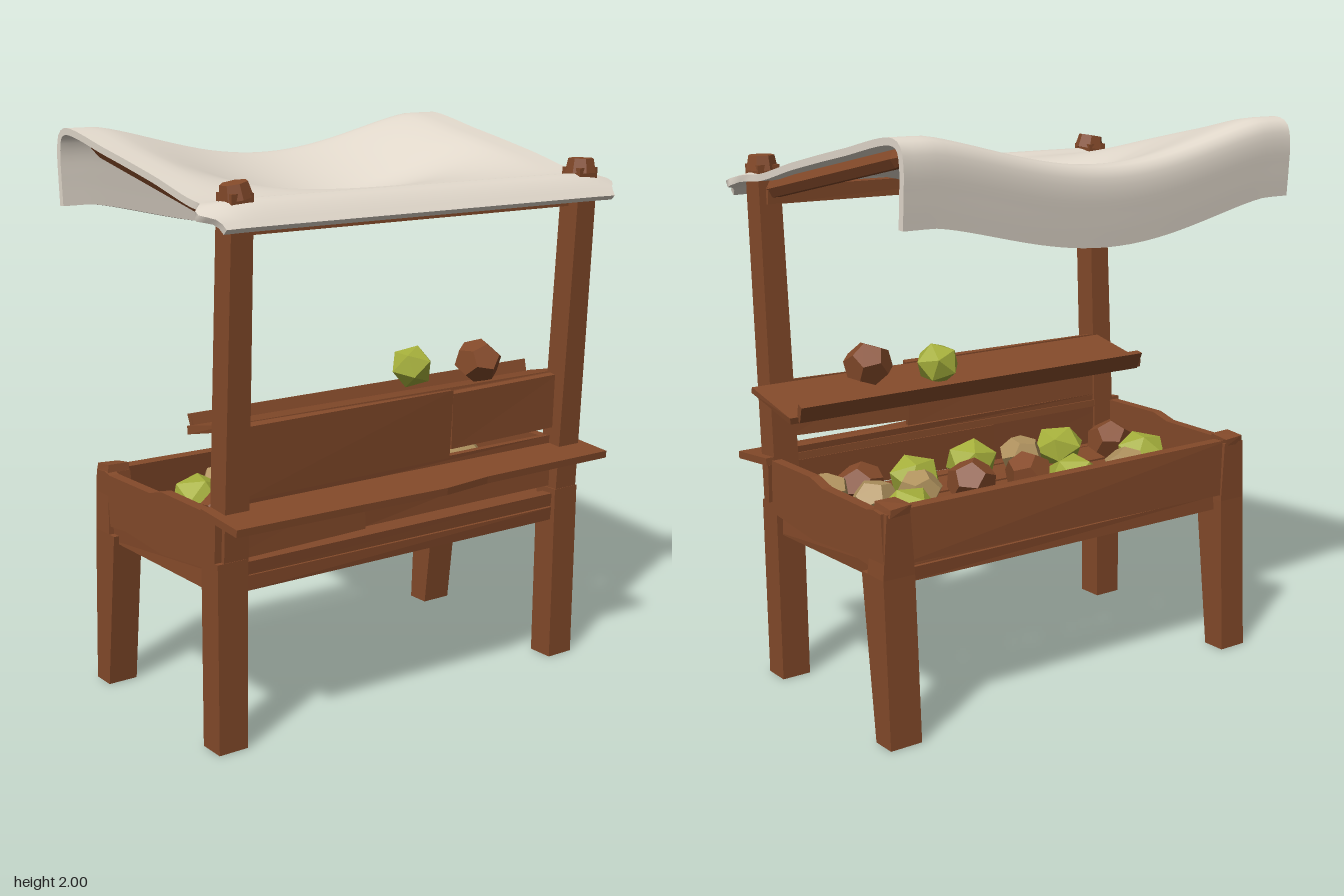
import * as THREE from 'three';

const mat = (name, color, extra = {}) => {
  const m = new THREE.MeshStandardMaterial({ color, ...extra });
  m.name = name;
  return m;
};

export function createModel() {
  const wood = mat('wood', 0x844a2a, { flatShading: true });
  const cloth = mat('cloth', 0xe2d9cc);
  const green = mat('green fruit', 0xa5af3b, { flatShading: true });
  const tan = mat('tan fruit', 0xb0925e, { flatShading: true });
  const model = new THREE.Group();

  let seed = 7;
  const rnd = () => (seed = (seed * 16807) % 2147483647) / 2147483647;

  const add = (name, geo, material, pos = [0, 0, 0], rot = [0, 0, 0]) => {
    const m = new THREE.Mesh(geo, material);
    m.name = name;
    m.position.set(...pos);
    m.rotation.set(...rot);
    model.add(m);
    return m;
  };

  const outline = pts => new THREE.Shape(pts.map(q => new THREE.Vector2(...q)));

  // Rough-hewn plank: a box with slightly uneven corners
  const plank = (name, size, pos, rot, wob = 0.008) => {
    const g = new THREE.BoxGeometry(...size);
    const p = g.attributes.position, shift = {};
    for (let i = 0; i < p.count; i++) {
      const c = [p.getX(i), p.getY(i), p.getZ(i)];
      const key = c.map(Math.sign).join();
      shift[key] ??= c.map(() => (rnd() - 0.5) * wob);
      p.setXYZ(i, ...c.map((v, k) => v + shift[key][k]));
    }
    g.computeVertexNormals();
    return add(name, g, wood, pos, rot);
  };

  // Tapered, leaning timber between two rectangles [x0, x1, z0, z1]
  const timber = (name, y0, lo, y1, hi) => {
    const g = new THREE.BoxGeometry(1, 1, 1);
    const p = g.attributes.position;
    for (let i = 0; i < p.count; i++) {
      const top = p.getY(i) > 0, r = top ? hi : lo;
      p.setXYZ(i, r[p.getX(i) > 0 ? 1 : 0], top ? y1 : y0, r[p.getZ(i) > 0 ? 3 : 2]);
    }
    g.computeVertexNormals();
    return add(name, g, wood);
  };

  // Legs and canopy posts
  timber('leg', 0, [0.31, 0.41, 0.675, 0.785], 0.66, [0.31, 0.41, 0.665, 0.78]);
  timber('leg', 0, [0.31, 0.41, -0.8, -0.69], 0.66, [0.31, 0.41, -0.805, -0.695]);
  timber('post', 0.6, [0.315, 0.405, 0.66, 0.755], 1.85, [0.382, 0.472, 0.665, 0.745]);
  timber('post', 0.6, [0.315, 0.405, -0.8, -0.7], 1.85, [0.382, 0.472, -0.795, -0.71]);
  for (const [z0, z1] of [[0.675, 0.787], [-0.812, -0.69]]) {
    const mid = (z0 + z1) / 2;
    timber('leg', 0, [-0.43, -0.34, z0, z1], 0.58, [-0.402, -0.27, z0, z1]);
    timber('legTop', 0.58, [-0.402, -0.305, z0, z1], 0.8, [-0.403, -0.322, mid - 0.045, mid + 0.045]);
    plank('legCap', [0.085, 0.026, 0.085], [-0.365, 0.808, mid], [0, 0.05, 0.06], 0.012);
  }

  // Post caps
  for (const z of [0.705, -0.755])
    add('postCap', new THREE.CylinderGeometry(0.046, 0.056, 0.05, 7), wood, [0.428, 1.856, z], [0.08, z * 2, 0.1]);

  // Tray end boards with worn edges
  const end = outline([
    [-0.4, 0.6], [-0.2, 0.618], [0.05, 0.6], [0.39, 0.635], [0.4, 0.82], [0.06, 0.822],
    [-0.02, 0.8], [-0.3, 0.797], [-0.34, 0.805], [-0.385, 0.8],
  ]);
  for (const z of [0.742, -0.808])
    add('trayEnd', new THREE.ExtrudeGeometry(end, { depth: 0.038, bevelEnabled: false }), wood, [0, 0, z]);

  // Tray long sides and frame rails
  plank('traySide', [0.04, 0.15, 0.6], [0.355, 0.73, 0.46], [0.015, 0, 0]);
  plank('traySide', [0.035, 0.135, 0.98], [0.35, 0.735, -0.33], [0.006, 0, 0]);
  plank('traySide', [0.035, 0.19, 1.5], [-0.372, 0.705, -0.01], [0, 0, -0.05], 0.02);
  for (const x of [0.36, -0.33]) {
    plank('longRail', [0.06, 0.05, 1.46], [x, 0.566, -0.01]);
    plank('longRail', [0.05, 0.045, 1.46], [x + 0.005, 0.617, -0.01]);
  }
  for (const z of [0.735, -0.75]) plank('endRail', [0.72, 0.065, 0.06], [0.01, 0.583, z]);

  // Counter ledge with an uneven outer edge
  const ledge = outline([
    [0.33, -0.83], [0.536, -0.83], [0.54, -0.25], [0.563, -0.05], [0.553, 0.3], [0.545, 0.79], [0.33, 0.79],
  ]);
  add('ledge', new THREE.ExtrudeGeometry(ledge, { depth: 0.026, bevelEnabled: false }).rotateX(Math.PI / 2),
    wood, [0, 0.86, 0], [0, 0, -0.085]);

  // Floor slats
  for (let i = 0; i < 4; i++)
    plank('floorSlat', [0.163, 0.025, 1.48], [-0.24 + i * 0.17, 0.622, -0.01], [0, 0, (rnd() - 0.5) * 0.1], 0.012);

  // Panel above the ledge
  plank('backPanel', [0.03, 0.245, 0.89], [0.362, 0.973, 0.225], [0.004, 0, -0.05]);
  plank('backPanel', [0.03, 0.205, 0.5], [0.365, 0.988, -0.47], [0.02, 0, -0.05]);
  plank('backPanel', [0.03, 0.04, 1.4], [0.35, 0.835, -0.02], [0.005, 0, 0]);

  // Tilted display shelf
  plank('shelf', [0.27, 0.028, 1.55], [0.205, 1.053, -0.095], [0, 0, 0.23]);
  plank('shelfLip', [0.022, 0.065, 1.5], [0.067, 1.045, -0.09], [0, 0, 0.3]);

  // Canopy frame
  plank('crossBeam', [0.055, 0.06, 1.5], [0.39, 1.745, -0.02]);
  for (const z of [0.7, -0.735]) {
    const a = new THREE.Vector3(0.42, 1.758, z), b = new THREE.Vector3(-0.525, 1.95, z);
    const dir = b.clone().sub(a), len = dir.length();
    const g = new THREE.LatheGeometry(
      [[0, 0], [0.034, 0], [0.033, len * 0.88], [0.012, len], [0, len]].map(q => new THREE.Vector2(...q)), 6);
    add('rafter', g, wood, a.toArray())
      .quaternion.setFromUnitVectors(new THREE.Vector3(0, 1, 0), dir.normalize());
  }

  // Sagging cloth canopy: a segmented slab bent along a section curve
  const section = new THREE.CatmullRomCurve3([
    [-0.552, 1.725], [-0.558, 1.82], [-0.56, 1.92], [-0.544, 1.975], [-0.5, 1.998], [-0.2, 1.945],
    [0.1, 1.883], [0.37, 1.822], [0.45, 1.832], [0.5, 1.8], [0.54, 1.755],
  ].map(([x, y]) => new THREE.Vector3(x, y, 0)));
  const canopy = new THREE.BoxGeometry(1, 1, 1, 56, 1, 40);
  const p = canopy.attributes.position;
  for (let i = 0; i < p.count; i++) {
    const t = p.getX(i) + 0.5, s = p.getZ(i) * 2;
    const c = section.getPointAt(t), along = section.getTangentAt(t);
    const inset = p.getY(i) < 0 ? 0.024 : 0;
    const flare = Math.exp(-(((c.x - 0.46) / 0.045) ** 2)) * Math.abs(s) ** 16;
    const z = -0.005 + s * (0.81 + 0.06 * flare);
    const amp = c.x < -0.1 ? 0.115 + 0.05 * (c.x + 0.55) / 0.45
      : 0.0825 * (1 + Math.cos(Math.PI * Math.min(1, (c.x + 0.1) / 0.5)));
    const sag = amp * Math.cos(Math.PI / 2 * Math.min(1, Math.abs(z) / 0.7)) ** 1.3;
    p.setXYZ(i, c.x + along.y * inset, c.y - along.x * inset - sag - 0.03 * flare, z);
  }
  canopy.computeVertexNormals();
  add('canopy', canopy, cloth);

  // Faceted fruit, each turned and flattened a little
  const fruit = (name, material, round, r, flat, list) => list.forEach(([x, y, z]) => {
    const g = round ? new THREE.DodecahedronGeometry(r) : new THREE.IcosahedronGeometry(r);
    g.rotateX(rnd() * 3).rotateZ(rnd() * 3).scale(1, flat, 1);
    add(name, g, material, [x, y, z], [0, rnd() * 3, 0]);
  });
  fruit('greenFruit', green, false, 0.083, 0.95, [[0.12, 1.135, -0.24]]);
  fruit('greenFruit', green, false, 0.103, 0.78, [
    [0.17, 0.735, -0.06], [0.14, 0.735, 0.33], [-0.1, 0.73, 0.54],
    [-0.19, 0.725, 0.14], [0.13, 0.73, -0.34], [-0.17, 0.72, -0.56],
  ]);
  fruit('brownFruit', wood, true, 0.09, 0.9, [
    [0.22, 1.145, -0.47], [0.11, 0.73, 0.56], [-0.05, 0.72, 0.04], [-0.17, 0.775, -0.3], [0.185, 0.72, -0.53],
  ]);
  fruit('tanFruit', tan, true, 0.085, 0.85, [
    [0.14, 0.73, 0.15], [-0.21, 0.725, 0.37], [-0.01, 0.725, -0.41], [0, 0.72, -0.59],
    [0.18, 0.715, -0.67], [0.02, 0.71, -0.17],
  ]);

  return model;
}
